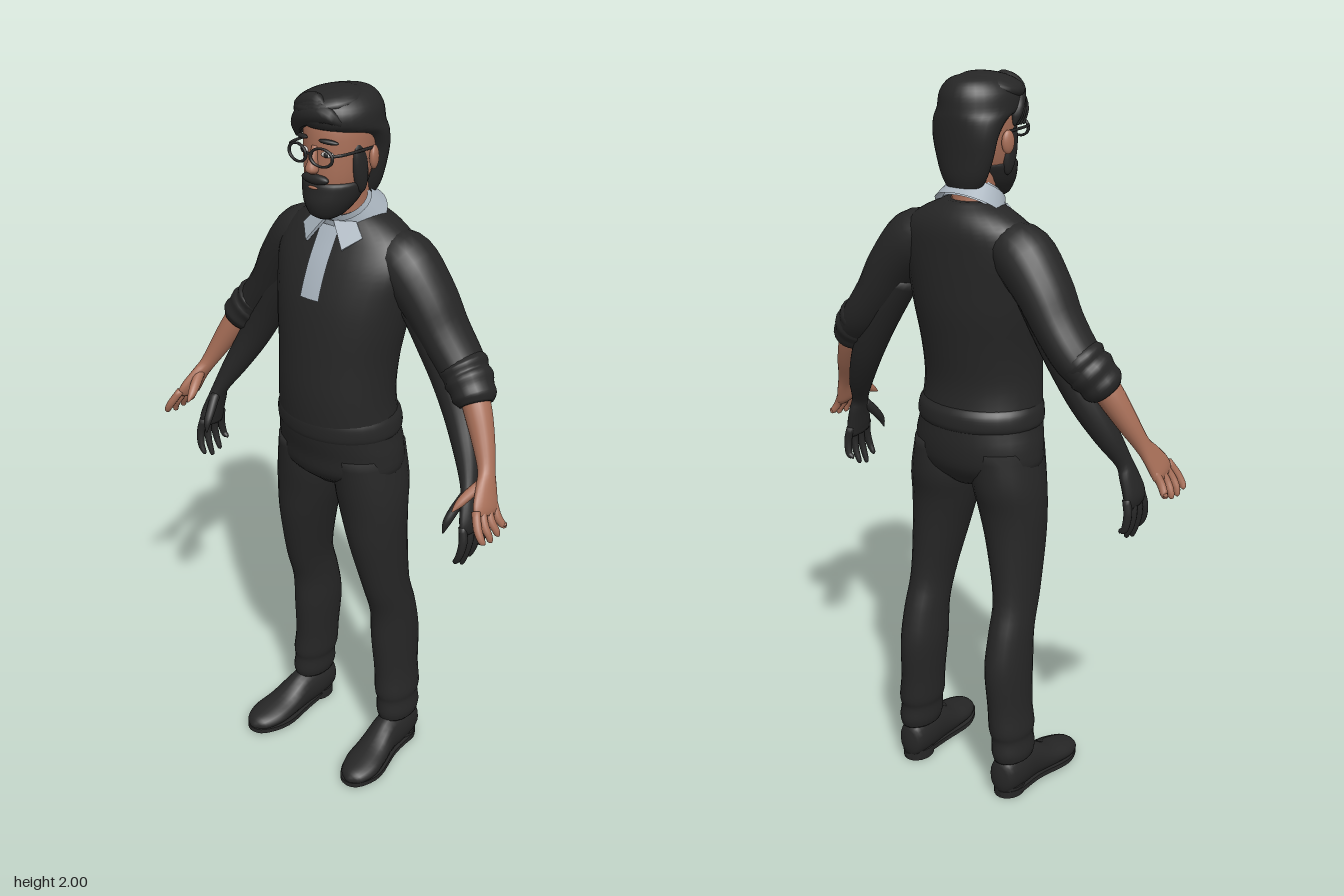
import * as THREE from 'three';

const mat = (name, color) => {
  const m = new THREE.MeshStandardMaterial({ color, side: THREE.DoubleSide });
  m.name = name;
  return m;
};
const X = new THREE.Vector3(1, 0, 0), Y = new THREE.Vector3(0, 1, 0), Z = new THREE.Vector3(0, 0, 1);

// Smooth skin over elliptical sections [x, y, z, width radius, depth radius].
// With an axis all sections stay parallel, otherwise they follow the path.
function loft(rows, { axis = null, seg = 20, steps = 4 } = {}) {
  const path = new THREE.CatmullRomCurve3(rows.map(r => new THREE.Vector3(r[0], r[1], r[2])), false, 'catmullrom');
  const size = new THREE.CatmullRomCurve3(rows.map(r => new THREE.Vector3(r[3], r[4], 0)), false, 'catmullrom');
  const n = (rows.length - 1) * steps, pos = [], idx = [];
  const ref = axis === Z ? Y : Z;
  for (let i = 0; i <= n; i++) {
    const c = path.getPoint(i / n), r = size.getPoint(i / n);
    const t = axis || path.getTangent(i / n);
    const u = t.clone().cross(ref).normalize(), v = u.clone().cross(t);
    for (let j = 0; j < seg; j++) {
      const a = j / seg * Math.PI * 2;
      const p = c.clone().addScaledVector(u, Math.cos(a) * Math.max(r.x, 0.001))
        .addScaledVector(v, Math.sin(a) * Math.max(r.y, 0.001));
      pos.push(p.x, p.y, p.z);
      if (i < n) {
        const k = (j + 1) % seg, o = i * seg;
        idx.push(o + j, o + seg + j, o + k, o + k, o + seg + j, o + seg + k);
      }
    }
  }
  const s = n * seg + seg;
  for (const k of [0, rows.length - 1]) pos.push(rows[k][0], rows[k][1], rows[k][2]);
  for (let j = 0; j < seg; j++) {
    const k = (j + 1) % seg;
    idx.push(s, j, k, s + 1, n * seg + k, n * seg + j);
  }
  const g = new THREE.BufferGeometry();
  g.setAttribute('position', new THREE.Float32BufferAttribute(pos, 3));
  g.setIndex(idx);
  g.computeVertexNormals();
  return g;
}

export function createModel() {
  const root = new THREE.Group();
  const black = mat('black cloth and hair', 0x262626);
  const skin = mat('skin', 0xa86f58);
  const grey = mat('pale grey shirt', 0xa9b4be);
  const white = mat('eye white', 0xd8d4d0);
  const add = (name, geo, m, p = [0, 0, 0], rot = [0, 0, 0], sc = [1, 1, 1]) => {
    const mesh = new THREE.Mesh(geo, m);
    mesh.name = name;
    mesh.position.set(...p);
    mesh.rotation.set(...rot);
    mesh.scale.set(...sc);
    root.add(mesh);
    return mesh;
  };
  const ball = new THREE.SphereGeometry(1, 20, 14);
  const side = (s, rows) => rows.map(r => [r[0] * s, ...r.slice(1)]);

  // Torso
  const torso = loft([
    [0, .92, -.025, .07, .08], [0, .97, -.02, .18, .128], [0, 1.03, -.02, .19, .14], [0, 1.1, -.01, .177, .146],
    [0, 1.2, 0, .168, .142], [0, 1.3, -.008, .172, .144], [0, 1.4, -.02, .188, .145], [0, 1.48, -.03, .2, .138],
    [0, 1.56, -.045, .212, .122], [0, 1.62, -.06, .19, .104], [0, 1.66, -.064, .135, .085], [0, 1.69, -.06, .07, .06]
  ], { axis: Y, seg: 32 });
  add('torso', torso, black);
  add('sweaterHem', loft([
    [0, 1.085, -.012, .176, .144], [0, 1.1, -.012, .182, .15], [0, 1.13, -.01, .179, .15], [0, 1.15, -.005, .17, .142]
  ], { axis: Y, seg: 32 }), black);

  // Placket, laid on the chest by following its front line
  const tp = torso.attributes.position, line = [];
  for (let i = 8; i < tp.count - 2; i += 32) line.push([tp.getY(i), tp.getZ(i)]);
  const chestZ = y => {
    const k = Math.max(1, line.findIndex(l => l[0] >= y));
    const [a, b] = [line[k - 1], line[k]];
    return a[1] + (b[1] - a[1]) * (y - a[0]) / (b[0] - a[0]);
  };
  const placket = new THREE.PlaneGeometry(.06, .175, 4, 16);
  placket.translate(0, 1.567, 0);
  const pp = placket.attributes.position;
  for (let i = 0; i < pp.count; i++) pp.setZ(i, chestZ(pp.getY(i)) + .006 - pp.getX(i) ** 2 * 2);
  placket.computeVertexNormals();
  add('placket', placket, grey);

  // Collar: tilted band with two pointed flaps
  add('collarBand', new THREE.CylinderGeometry(.076, .1, .055, 32, 1, true), grey, [0, 1.685, -.042], [.6, 0, 0], [1, 1, .92]);
  add('collarLining', new THREE.CylinderGeometry(.066, .08, .06, 32, 1, true), grey, [0, 1.69, -.042], [.6, 0, 0], [1, 1, .92]);
  for (const s of [1, -1]) {
    const flap = new THREE.Shape([[.012, .03], [.07, .045], [.1, .01], [.06, -.035]].map(p => new THREE.Vector2(p[0] * s, p[1])));
    add('collarFlap', new THREE.ExtrudeGeometry(flap, { depth: .008, bevelEnabled: false }), grey, [0, 1.645, .047], [-.6, s * .35, 0]);
  }

  for (const s of [1, -1]) {
    // Trouser leg
    add('trouserLeg', loft(side(s, [
      [.1, 1.03, -.02, .08, .12], [.104, .93, -.025, .096, .115], [.114, .85, -.022, .092, .102], [.127, .75, -.025, .077, .095],
      [.143, .6, -.045, .058, .081], [.147, .5, -.075, .056, .08], [.148, .4, -.088, .058, .087], [.154, .28, -.09, .055, .079],
      [.16, .21, -.089, .057, .08], [.162, .18, -.088, .052, .074], [.165, .14, -.088, .054, .077], [.166, .115, -.088, .049, .071]
    ]), { axis: Y, seg: 24 }), black);

    // Shoe with flat sole and heel block
    const shoe = loft(side(s, [
      [.163, .06, -.16, .012, .02], [.164, .065, -.145, .038, .055], [.166, .065, -.09, .046, .065], [.169, .06, -.02, .045, .062],
      [.177, .042, .05, .053, .04], [.184, .034, .11, .056, .03], [.188, .028, .16, .038, .022], [.189, .024, .18, .008, .008]
    ]), { axis: Z, seg: 20 });
    const sp = shoe.attributes.position;
    for (let i = 0; i < sp.count; i++) sp.setY(i, Math.max(sp.getY(i), .012));
    shoe.computeVertexNormals();
    add('shoe', shoe, black);
    const outline = new THREE.Shape();
    outline.setFromPoints(new THREE.SplineCurve([
      [.13, .13], [.125, .02], [.118, -.09], [.15, -.165], [.19, -.183], [.225, -.16], [.242, -.09], [.215, .02], [.207, .12], [.17, .158], [.13, .13]
    ].map(p => new THREE.Vector2(p[0] * s, p[1]))).getPoints(40));
    add('sole', new THREE.ExtrudeGeometry(outline, { depth: .014, bevelEnabled: false }), black, [0, .008, 0], [-Math.PI / 2, 0, 0]);
    add('heel', new THREE.CylinderGeometry(.042, .042, .03, 20), black, [.165 * s, .015, -.105], [0, 0, 0], [1, 1, 1.2]);

    // Sleeve and rolled cuff
    add('sleeve', loft(side(s, [
      [.1, 1.6, -.065, .045, .065], [.165, 1.57, -.068, .078, .085], [.235, 1.49, -.075, .071, .083], [.285, 1.41, -.08, .062, .077],
      [.345, 1.33, -.08, .058, .07], [.4, 1.275, -.06, .05, .058]
    ])), black);
    add('rolledCuff', loft(side(s, [
      [.34, 1.345, -.08, .05, .06], [.352, 1.33, -.078, .062, .071], [.366, 1.313, -.074, .056, .066], [.378, 1.3, -.07, .062, .069],
      [.392, 1.283, -.064, .055, .062], [.405, 1.265, -.058, .056, .06], [.415, 1.25, -.052, .042, .046]
    ])), black);

    // Bare forearm and hand
    add('forearm', loft(side(s, [
      [.385, 1.3, -.065, .036, .038], [.422, 1.24, -.048, .036, .038], [.46, 1.17, -.025, .029, .031], [.49, 1.11, 0, .021, .025],
      [.507, 1.075, .022, .018, .036], [.523, 1.035, .045, .018, .046], [.53, 1.015, .052, .012, .042]
    ])), skin);
    for (let f = 0; f < 4; f++) {
      const a = .087 - f * .025, b = .105 - f * .032, low = [.965, .957, .96, .975][f];
      add('finger', loft(side(s, [
        [.522, 1.04, a, .011, .012], [.541, 1.005, a + (b - a) * .5 + .008, .011, .012], [.556, .98, b + .003, .0095, .01],
        [.561, low + .005, b, .007, .007], [.561, low, b, .001, .001]
      ]), { seg: 10, steps: 3 }), skin);
    }
    add('thumb', loft(side(s, [
      [.5, 1.09, .02, .014, .014], [.483, 1.065, .062, .014, .015], [.473, 1.045, .09, .011, .012], [.468, 1.03, .112, .002, .002]
    ]), { seg: 10 }), skin);

    // Second, gloved arm below the sleeve
    add('glovedArm', loft(side(s, [
      [.22, 1.47, -.07, .06, .06], [.265, 1.39, -.072, .055, .06], [.312, 1.3, -.07, .048, .053], [.36, 1.21, -.058, .043, .045],
      [.408, 1.12, -.03, .034, .036], [.44, 1.05, 0, .022, .026], [.453, 1.01, .008, .02, .037], [.465, .96, .018, .02, .046],
      [.466, .93, .022, .014, .043]
    ])), black);
    for (let f = 0; f < 4; f++) {
      const a = .055 - f * .025, b = .068 - f * .032, low = [.845, .828, .836, .86][f];
      add('glovedFinger', loft(side(s, [
        [.464, .955, a, .011, .012], [.472, .915, (a + b) / 2, .011, .012], [.467, .875, b, .01, .01],
        [.455, low + .007, b, .007, .007], [.452, low, b, .001, .001]
      ]), { seg: 10, steps: 3 }), black);
    }
    add('glovedThumb', loft(side(s, [
      [.445, 1.03, .02, .014, .015], [.434, .995, .052, .013, .014], [.428, .965, .075, .011, .011], [.424, .935, .085, .002, .002]
    ]), { seg: 10 }), black);

    // Face features found on both sides
    add('ear', ball, skin, [.094 * s, 1.835, -.028], [0, s * .3, 0], [.011, .03, .019]);
    add('sideburn', ball, black, [.076 * s, 1.815, .006], [.15, 0, 0], [.016, .068, .026]);
    add('eye', ball, white, [.037 * s, 1.855, .082], [0, s * .35, 0], [.016, .008, .007]);
    add('pupil', ball, black, [.037 * s, 1.855, .087], [0, s * .35, 0], [.007, .007, .004]);
    add('eyebrow', ball, black, [.042 * s, 1.887, .083], [0, s * .4, -s * .1], [.026, .006, .008]);
    add('lensFrame', new THREE.TorusGeometry(.028, .004, 8, 28), black, [.038 * s, 1.853, .106], [0, s * .15, 0], [1.12, .8, 1]);
    add('templeArm', loft(side(s, [
      [.068, 1.86, .1, .003, .004], [.086, 1.862, .07, .003, .004], [.094, 1.86, -.03, .003, .004]
    ]), { axis: Z, seg: 8 }), black);
  }
  add('glassesBridge', new THREE.CylinderGeometry(.0035, .0035, .022, 8), black, [0, 1.858, .109], [0, 0, Math.PI / 2]);

  // Neck and head
  add('neck', loft([[0, 1.64, -.055, .06, .06], [0, 1.7, -.045, .055, .058], [0, 1.77, -.035, .056, .06]], { axis: Y }), skin);
  add('head', loft([
    [0, 1.7, .03, .02, .03], [0, 1.73, .016, .055, .062], [0, 1.78, 0, .077, .088], [0, 1.85, -.012, .087, .1],
    [0, 1.92, -.016, .086, .098], [0, 1.965, -.02, .06, .07], [0, 1.98, -.02, .01, .01]
  ], { axis: Y, seg: 28 }), skin);
  add('nose', loft([
    [0, 1.872, .082, .009, .01], [0, 1.84, .092, .011, .014], [0, 1.815, .097, .017, .018], [0, 1.803, .092, .008, .008]
  ], { axis: Y, seg: 14 }), skin);

  // Beard and moustache
  add('beard', loft([
    [0, 1.682, .045, .025, .025], [0, 1.695, .038, .045, .05], [0, 1.725, .024, .066, .074], [0, 1.755, .013, .078, .083],
    [0, 1.775, .006, .081, .087], [0, 1.782, .004, .07, .08]
  ], { axis: Y, seg: 28 }), black);
  add('moustache', ball, black, [0, 1.789, .085], [0, 0, 0], [.042, .014, .015]);
  add('lowerLip', ball, skin, [0, 1.768, .093], [0, 0, 0], [.015, .004, .004]);

  // Hair cap, with locks swept across the forehead
  add('hair', loft([
    [0, 1.715, -.085, .045, .03], [0, 1.75, -.085, .066, .04], [0, 1.8, -.083, .083, .046], [0, 1.85, -.08, .094, .053],
    [0, 1.89, -.06, .1, .075], [0, 1.915, -.022, .102, .112], [0, 1.955, -.016, .096, .112], [0, 1.985, -.02, .068, .085],
    [0, 1.995, -.02, .03, .04], [0, 1.997, -.02, .005, .005]
  ], { axis: Y, seg: 32 }), black);
  for (let i = 0; i < 4; i++) {
    const d = i * .014;
    add('fringeLock', loft([
      [.065 - d, 1.93 + d, .06 + d * .4, .008, .01], [.03 - d, 1.95 + d * .6, .08 - d * .2, .022, .022],
      [-.03 - d * .6, 1.94 + d * .3, .08 - d * .4, .026, .022], [-.075 - d * .3, 1.91, .06 - d, .02, .018],
      [-.092, 1.872, .045 - d, .003, .004]
    ], { seg: 12 }), black);
  }
  add('sweptTop', ball, black, [-.015, 1.965, .01], [.1, 0, .12], [.088, .034, .092]);
  return root;
}
